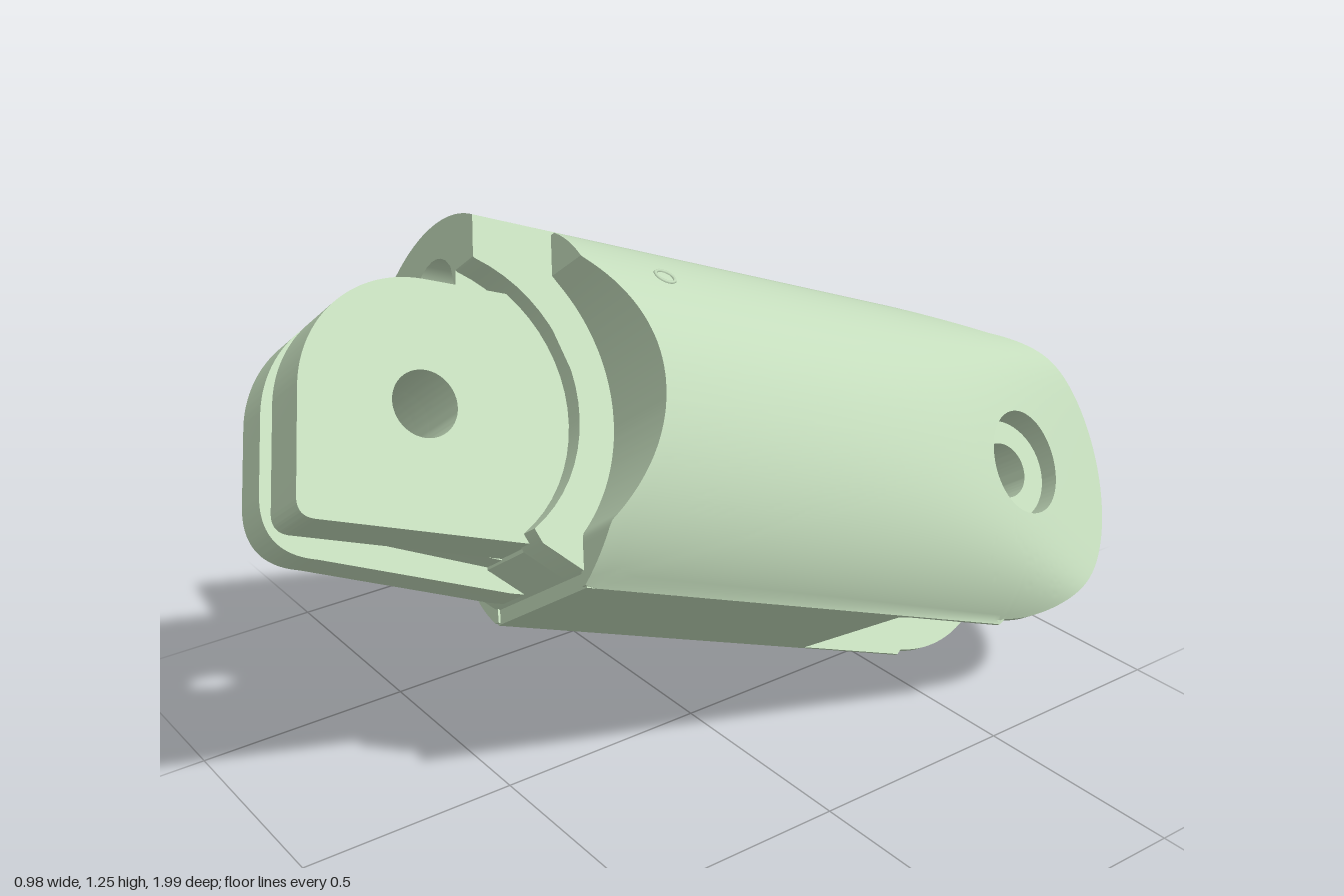
import * as THREE from 'three';
import { toCreasedNormals } from 'three/addons/utils/BufferGeometryUtils.js';

// Local frame: x = hinge axis, y = up from the flat underside, z = along the link
const HINGE = 0.707, HALF = 0.19, FLOOR = -0.352, MID = 0.05;
const radius = (l) => 0.392 + 0.012 * l;
const topAt = (l, h) => MID + Math.sqrt(radius(l) ** 2 - h * h);

// Half width of the rounded shell, blending into flatter fork arms
function shellWidth(l, u) {
  const r = radius(l), b = u > MID ? r : 0.455;
  const round = r * Math.sqrt(Math.max(0.0001, 1 - ((u - MID) / b) ** 2));
  const flat = 0.335 + 0.3 * (l + HINGE);
  return Math.max(HALF, (round ** -10 + flat ** -10) ** -0.1);
}

// Side outline: flat underside, rounded fork end, scooped front
function insideCheek(l, u) {
  if (u < FLOOR || u > topAt(l, HALF) || l > (u > 0 ? 0.44 : 0.39)) return false;
  if (l < -HINGE && ((l + HINGE) / 0.325) ** 2 + (u / 0.34) ** 2 > 1) return false;
  if (l >= -HINGE && u > 0.34 + 0.2 * (l + HINGE)) return false;
  return Math.hypot(l - HINGE, u) > 0.4;
}

// Closed profile swept round the fork hole out to the side outline
function cheekGeometry(side, bore) {
  const N = 280, M = 26, pos = [], idx = [];
  let count = 0;
  for (let i = 0; i < N; i++) {
    const q = -1 + 2 * i / N, a = Math.PI * (0.35 * q + 0.65 * q ** 3);
    const c = Math.cos(a), s = Math.sin(a);
    const wide = (r) => shellWidth(-HINGE + r * c, r * s);
    let R = 0.27;
    for (const step of [0.004, 0.0002]) {
      while (insideCheek(-HINGE + (R + step) * c, (R + step) * s)) R += step;
    }
    const loop = [[0.065, 0.16], [0.065, 0.25], [bore, 0.25]];
    for (let j = 0; j <= M; j++) {
      const r = bore + (R - bore) * j / M;
      loop.push([r, wide(r)]);
    }
    loop.push([R, HALF - 0.01], [0.26, HALF - 0.01], [0.26, 0.16]);
    count = loop.length;
    for (const [r, h] of loop) pos.push(side * h, r * s, -HINGE + r * c);
  }
  for (let i = 0; i < N; i++) for (let j = 0; j < count; j++) {
    const i2 = (i + 1) % N, j2 = (j + 1) % count;
    const a = i * count + j, b = i2 * count + j, c = i2 * count + j2, d = i * count + j2;
    if (side > 0) idx.push(a, b, d, b, c, d);
    else idx.push(a, d, b, b, d, c);
  }
  const g = new THREE.BufferGeometry();
  g.setAttribute('position', new THREE.Float32BufferAttribute(pos, 3));
  g.setIndex(idx);
  return toCreasedNormals(g, 0.6);
}

// Extrude a (length, up) shape across the hinge axis from h0 to h1
function across(shape, h0, h1, steps = 1) {
  const g = new THREE.ExtrudeGeometry(shape, { depth: h1 - h0, steps, bevelEnabled: false, curveSegments: 32 });
  g.translate(0, 0, -h1);
  g.rotateY(-Math.PI / 2);
  return g;
}

// Core slab; its upper edge follows the round shell, the middle one has a channel
function coreGeometry(h0, h1, channel) {
  const s = new THREE.Shape();
  s.moveTo(-0.36, FLOOR);
  s.lineTo(0.385, FLOOR);
  s.lineTo(0.385, -0.32);
  s.lineTo(0.48, -0.27);
  if (channel) {
    s.lineTo(0.48, 0.15);
    s.lineTo(0.25, 0.2);
    s.lineTo(0.25, 0.32);
    s.lineTo(0.62, 0.32);
  } else {
    for (let i = 0; i <= 20; i++) {
      const a = 4 - (4 - 1.86) * i / 20;
      s.lineTo(HINGE + 0.32 * Math.cos(a), 0.32 * Math.sin(a));
    }
    s.lineTo(0.62, 0.31);
  }
  for (let i = 0; i <= 16; i++) s.lineTo(0.62 - 1.09 * i / 16, 0.5);
  s.lineTo(-0.47, 0.3);
  s.lineTo(-0.4, 0.2);
  s.lineTo(-0.36, 0.2);
  const g = across(s, h0, h1, 10), p = g.attributes.position;
  for (let i = 0; i < p.count; i++) {
    const h = p.getX(i), u = p.getY(i), l = p.getZ(i);
    if (u > 0.49) p.setY(i, topAt(l, h));
    else if (channel && Math.abs(u - 0.32) < 0.001) p.setY(i, 0.26 + Math.sqrt(Math.max(0, 0.0121 - h * h)));
  }
  return toCreasedNormals(g, 0.6);
}

// Tongue slice: round over the front hinge, squared off toward the underside
function tongueGeometry(h0, h1, r, root, low, corner) {
  const s = new THREE.Shape();
  s.moveTo(HINGE - 0.4, -root);
  s.lineTo(HINGE - 0.28, -root);
  s.lineTo(HINGE + r - corner, -low);
  s.quadraticCurveTo(HINGE + r, -low, HINGE + r, -low + corner);
  s.lineTo(HINGE + r, 0);
  s.absarc(HINGE, 0, r, 0, Math.PI / 2, false);
  s.lineTo(HINGE - 0.4, r);
  s.closePath();
  const hole = new THREE.Path();
  hole.absarc(HINGE, 0, 0.07, 0, Math.PI * 2, true);
  s.holes.push(hole);
  return toCreasedNormals(across(s, h0, h1), 0.6);
}

export function createModel() {
  const mat = new THREE.MeshStandardMaterial({ color: 0xc4dcbc });
  mat.name = 'pale green';
  const link = new THREE.Group();
  link.name = 'fingerLink';
  const add = (name, geo) => {
    const m = new THREE.Mesh(geo, mat);
    m.name = name;
    link.add(m);
    return m;
  };

  // Shell halves, each ending in a fork arm
  add('leftShellAndFork', cheekGeometry(1, 0.12));
  add('rightShellAndFork', cheekGeometry(-1, 0.075));

  // Core with the front tab and its channel
  add('coreLeft', coreGeometry(0.11, HALF, false));
  add('coreMiddle', coreGeometry(-0.11, 0.11, true));
  add('coreRight', coreGeometry(-HALF, -0.11, false));

  // Rear wall between the fork arms with a cord hole
  const wall = new THREE.Shape();
  wall.moveTo(-HALF, FLOOR);
  wall.lineTo(HALF, FLOOR);
  wall.lineTo(HALF, 0.2);
  wall.lineTo(-HALF, 0.2);
  wall.closePath();
  const cord = new THREE.Path();
  cord.absarc(0, -0.1, 0.05, 0, Math.PI * 2, true);
  wall.holes.push(cord);
  const wallGeo = new THREE.ExtrudeGeometry(wall, { depth: 0.06, bevelEnabled: false, curveSegments: 20 });
  wallGeo.translate(0, 0, -0.42);
  add('rearWall', toCreasedNormals(wallGeo, 0.6));

  // Tongue: two plates with a recessed web
  add('tonguePlateLeft', tongueGeometry(0.015, 0.145, 0.262, 0.262, 0.255, 0.04));
  add('tonguePlateRight', tongueGeometry(-0.145, -0.05, 0.262, 0.315, 0.28, 0.12));
  add('tongueWeb', tongueGeometry(-0.05, 0.015, 0.21, 0.27, 0.225, 0.08));

  // Small pin hole rims on the shell
  const pinRim = (name, x, y, l, u, r) => {
    const rim = add(name, new THREE.TorusGeometry(r, 0.004, 6, 20));
    rim.position.set(Math.sign(x) * shellWidth(l, u), u, l);
    rim.quaternion.setFromUnitVectors(new THREE.Vector3(0, 0, 1), new THREE.Vector3(x, y, 0).normalize());
  };
  pinRim('upperPinHoleRim', 0.8, 0.6, 0.246, 0.286, 0.022);
  pinRim('sidePinHoleRim', -1, -0.15, 0.2, -0.05, 0.03);

  // Tilt into the resting pose
  const L = new THREE.Vector3(-0.15, 0.32, 0.935).normalize();
  const H = new THREE.Vector3(-0.55, 0.76, -0.348).cross(L).normalize();
  const U = new THREE.Vector3().crossVectors(L, H);
  link.quaternion.setFromRotationMatrix(new THREE.Matrix4().makeBasis(H, U, L));
  link.position.set(-0.005, 0.625, 0);

  const model = new THREE.Group();
  model.name = 'model';
  model.add(link);
  return model;
}
